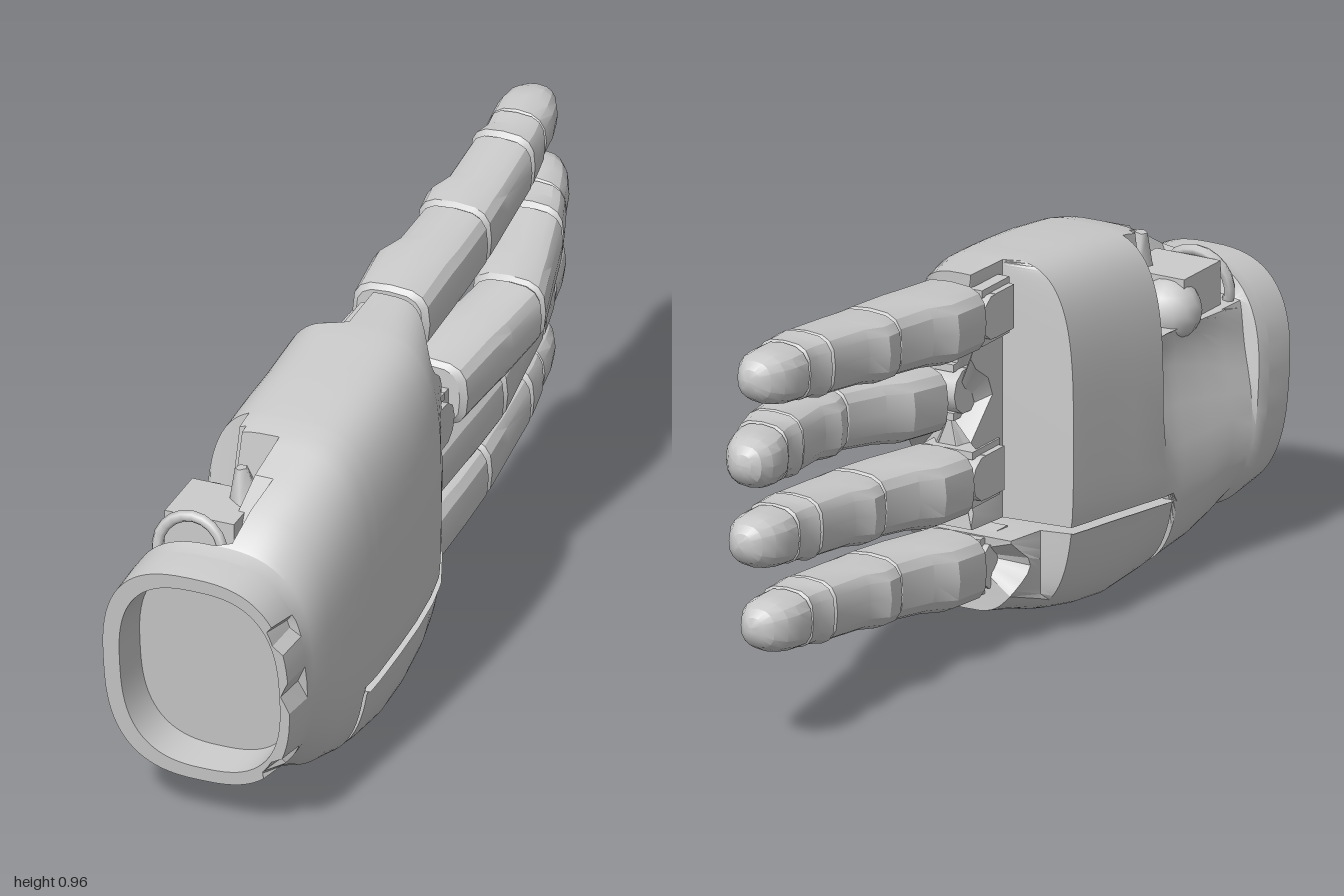
import * as THREE from 'three';
import { toCreasedNormals } from 'three/addons/utils/BufferGeometryUtils.js';

const grey = new THREE.MeshStandardMaterial({ color: 0xcccccc });

function add(parent, geometry, name, x = 0, y = 0, z = 0) {
  const mesh = new THREE.Mesh(geometry, grey);
  mesh.name = name;
  mesh.position.set(x, y, z);
  parent.add(mesh);
  return mesh;
}

// Skins rounded-square sections [z, x0, x1, y0, y1], listed from +z to -z.
// power(z) sets how square they are; rule(p, section) may move each point.
function loft(sections, n, power, rule = () => {}) {
  const pos = [], index = [];
  for (const s of sections) {
    const [z, x0, x1, y0, y1] = s;
    const bend = (v) => Math.sign(v) * Math.abs(v) ** (2 / power(z));
    for (let j = 0; j < n; j++) {
      const t = (j / n) * Math.PI * 2;
      const p = new THREE.Vector3(
        (x0 + x1) / 2 + bend(Math.cos(t)) * (x1 - x0) / 2,
        (y0 + y1) / 2 + bend(Math.sin(t)) * (y1 - y0) / 2, z);
      rule(p, s);
      pos.push(p.x, p.y, p.z);
    }
  }
  for (let i = 0; i < sections.length - 1; i++) {
    for (let j = 0; j < n; j++) {
      const k = (j + 1) % n, a = i * n + j, b = i * n + k;
      index.push(a, a + n, b, b, a + n, b + n);
    }
  }
  // end caps
  for (const i of [0, sections.length - 1]) {
    const c = [0, 0, 0], centre = pos.length / 3;
    for (let j = 0; j < n; j++) for (let d = 0; d < 3; d++) c[d] += pos[(i * n + j) * 3 + d] / n;
    pos.push(...c);
    for (let j = 0; j < n; j++) {
      const a = i * n + j, b = i * n + (j + 1) % n;
      index.push(centre, ...(i === 0 ? [a, b] : [b, a]));
    }
  }
  const g = new THREE.BufferGeometry();
  g.setAttribute('position', new THREE.Float32BufferAttribute(pos, 3));
  g.setIndex(index);
  return toCreasedNormals(g, 0.45);
}

const palmPower = (z) => 3.4 - 0.7 * THREE.MathUtils.smoothstep(z, 0.6, 0.88);
const seam = (z) => 0.22 + (0.58 - z) * 0.1;
const knuckleY = [0.19, 0.395, 0.595, 0.785];

// Front edge of the hand: cut back at each knuckle, reaching out between them,
// and tapering in thickness towards the fingers
function scallop(p) {
  p.z = 0.03 + 0.05 * Math.cos(((p.y - 0.19) / 0.198) * Math.PI * 2);
  p.x *= 0.94 + 2 * p.z;
}

function palmRule(p, s) {
  const z = s[0], tag = s[5];
  // slots around the wrist
  if (tag === 'slot' && p.x > 0.08 && [0.18, 0.38, 0.54].some((y) => Math.abs(p.y - y) < 0.026)) p.x -= 0.02;
  // cutaway for the thumb, with a hollow in the heel below it
  if (tag === 'thumb' && p.x < (z < 0.6 ? -0.08 : 0.01)) {
    p.x += 0.03 * Math.exp(-(((p.y - 0.52) / 0.12) ** 2)) * (p.x < -0.1);
    p.y = Math.min(p.y, 0.63 + p.x * 0.15);
  }
  // room for the outer pad
  if (z < 0.585) p.y = Math.max(p.y, seam(z));
  // stepped knuckle recess on the palm side
  if (z < 0.125) p.x = Math.max(p.x, 0);
  if (tag === 'edge') scallop(p);
  // slanted wrist
  p.z += (p.y - 0.67) * 0.12 * THREE.MathUtils.smoothstep(p.z, 0.65, 0.95);
}

function buildPalm(group) {
  const outer = [
    [0.57, -0.185, 0.243, 0.02, 0.838, 'thumb'],
    [0.535, -0.184, 0.245, 0.014, 0.846, 'thumb'],
    [0.52, -0.183, 0.246, 0.012, 0.848],
    [0.4, -0.18, 0.248, 0, 0.863],
    [0.3, -0.177, 0.247, 0.01, 0.87],
    [0.2, -0.177, 0.24, 0.03, 0.877],
    [0.14, -0.175, 0.23, 0.045, 0.882],
    [0.12, -0.165, 0.226, 0.052, 0.882],
    [0.04, -0.14, 0.19, 0.08, 0.885, 'edge'],
  ];
  const sections = [
    [0.89, -0.2, 0.183, 0.15, 0.625], // cup floor
    [1, -0.205, 0.187, 0.145, 0.635],
    [1, -0.245, 0.21, 0.11, 0.67, 'slot'],
    [0.91, -0.245, 0.215, 0.095, 0.68, 'slot'],
    [0.905, -0.245, 0.215, 0.095, 0.68],
    [0.87, -0.238, 0.218, 0.1, 0.69],
    [0.86, -0.235, 0.22, 0.1, 0.7, 'thumb'],
    [0.78, -0.222, 0.226, 0.07, 0.75, 'thumb'],
    [0.7, -0.205, 0.235, 0.045, 0.79, 'thumb'],
    [0.61, -0.19, 0.24, 0.028, 0.825, 'thumb'],
    [0.59, -0.187, 0.242, 0.022, 0.833, 'thumb'],
    ...outer,
  ];
  add(group, loft(sections, 80, palmPower, palmRule), 'palm');

  // outer pad under the little finger, split from the palm by a narrow gap
  add(group, loft(outer, 80, palmPower, (p, s) => {
    p.y = Math.min(p.y, seam(s[0]) - 0.014);
    if (s[0] < 0.125) p.x = Math.max(p.x, -0.1);
    if (s[5] === 'edge') {
      scallop(p);
      p.z = Math.max(0, p.z - 0.02);
    }
  }), 'outerPad');

  // empty thumb joint: ball, block, collar and lug
  const socket = new THREE.Group();
  socket.name = 'thumbSocket';
  socket.position.set(-0.09, 0.64, 0.73);
  group.add(socket);
  add(socket, new THREE.SphereGeometry(0.075, 14, 10), 'thumbBall', -0.03, -0.01, -0.08);
  add(socket, new THREE.BoxGeometry(0.17, 0.14, 0.16), 'thumbBlock', 0.01, 0, -0.01);
  const collar = add(socket, new THREE.TorusGeometry(0.08, 0.014, 6, 20), 'thumbCollar', 0, 0, 0.1);
  collar.rotation.x = -0.2;
  const lug = add(socket, new THREE.CylinderGeometry(0.015, 0.045, 0.1, 5), 'thumbLug', 0.07, 0.1, -0.05);
  lug.rotation.z = 0.15;
}

// Fingers: base, middle joint and tip on a bent centre line [x, y, z]
const fingers = [
  { name: 'littleFinger', line: [[0.03, 0.2, -0.05], [0.04, 0.242, -0.4], [0.02, 0.306, -0.95]] },
  { name: 'ringFinger', line: [[0.05, 0.403, -0.07], [0.07, 0.44, -0.42], [0.03, 0.515, -0.985]] },
  { name: 'middleFinger', line: [[0.1, 0.603, -0.1], [0.147, 0.647, -0.46], [0.02, 0.71, -1]] },
  { name: 'indexFinger', line: [[0.025, 0.797, -0.06], [0.03, 0.833, -0.42], [0.02, 0.902, -0.965]] },
];

// [position along finger, palm-side depth, back depth, half height]
const segments = {
  lowerSegment: [[0, 0.085, 0.078, 0.072], [0.012, 0.098, 0.092, 0.083], [0.16, 0.112, 0.092, 0.085],
    [0.23, 0.085, 0.092, 0.083], [0.37, 0.08, 0.09, 0.08], [0.385, 0.07, 0.08, 0.07]],
  middleSegment: [[0.375, 0.07, 0.074, 0.068], [0.395, 0.092, 0.089, 0.08], [0.46, 0.098, 0.088, 0.079],
    [0.52, 0.074, 0.086, 0.077], [0.69, 0.072, 0.082, 0.075], [0.705, 0.06, 0.07, 0.064]],
  upperJoint: [[0.695, 0.06, 0.062, 0.064], [0.715, 0.078, 0.08, 0.077], [0.76, 0.066, 0.076, 0.071],
    [0.81, 0.07, 0.07, 0.07], [0.825, 0.056, 0.058, 0.058]],
  fingertip: [[0.81, 0.055, 0.055, 0.056], [0.825, 0.075, 0.068, 0.068], [0.89, 0.08, 0.064, 0.065],
    [0.94, 0.072, 0.054, 0.06], [0.975, 0.052, 0.038, 0.046], [0.993, 0.03, 0.02, 0.027], [1, 0.006, 0.005, 0.006]],
};

function buildFinger({ name, line }, i, group) {
  const finger = new THREE.Group();
  finger.name = name;
  group.add(finger);
  const [a, b, c] = line.map((p) => new THREE.Vector3(...p));
  const at = (u) => (u < 0.39 ? a.clone().lerp(b, u / 0.39) : b.clone().lerp(c, (u - 0.39) / 0.61));
  for (const [part, rows] of Object.entries(segments)) {
    const sections = rows.map(([u, inner, back, h]) => {
      const p = at(u);
      return [p.z, p.x - inner, p.x + back, p.y - h, p.y + h];
    });
    add(finger, loft(sections, 16, () => (part === 'fingertip' ? 2.5 : 3.1)), part);
  }

  // hinge between palm and finger
  const x = a.x + 0.01, y = knuckleY[i];
  add(finger, new THREE.BoxGeometry(0.16, 0.105, 0.08), 'knuckleBlock', x, y, 0.055);
  const barrel = add(finger, new THREE.CylinderGeometry(0.054, 0.054, 0.16, 10), 'knuckleBarrel', x, y, 0.012);
  barrel.rotation.z = Math.PI / 2;
  for (const side of [-1, 1]) {
    add(finger, new THREE.BoxGeometry(0.13, 0.018, 0.12), 'knuckleFork', x, y + side * 0.058, 0.04);
  }
  add(finger, new THREE.BoxGeometry(0.08, 0.05, 0.12), 'knuckleLink', x, y + 0.005, a.z + 0.02);
}

export function createModel() {
  const hand = new THREE.Group();
  hand.name = 'hand';
  buildPalm(hand);
  fingers.forEach((f, i) => buildFinger(f, i, hand));
  return hand;
}
